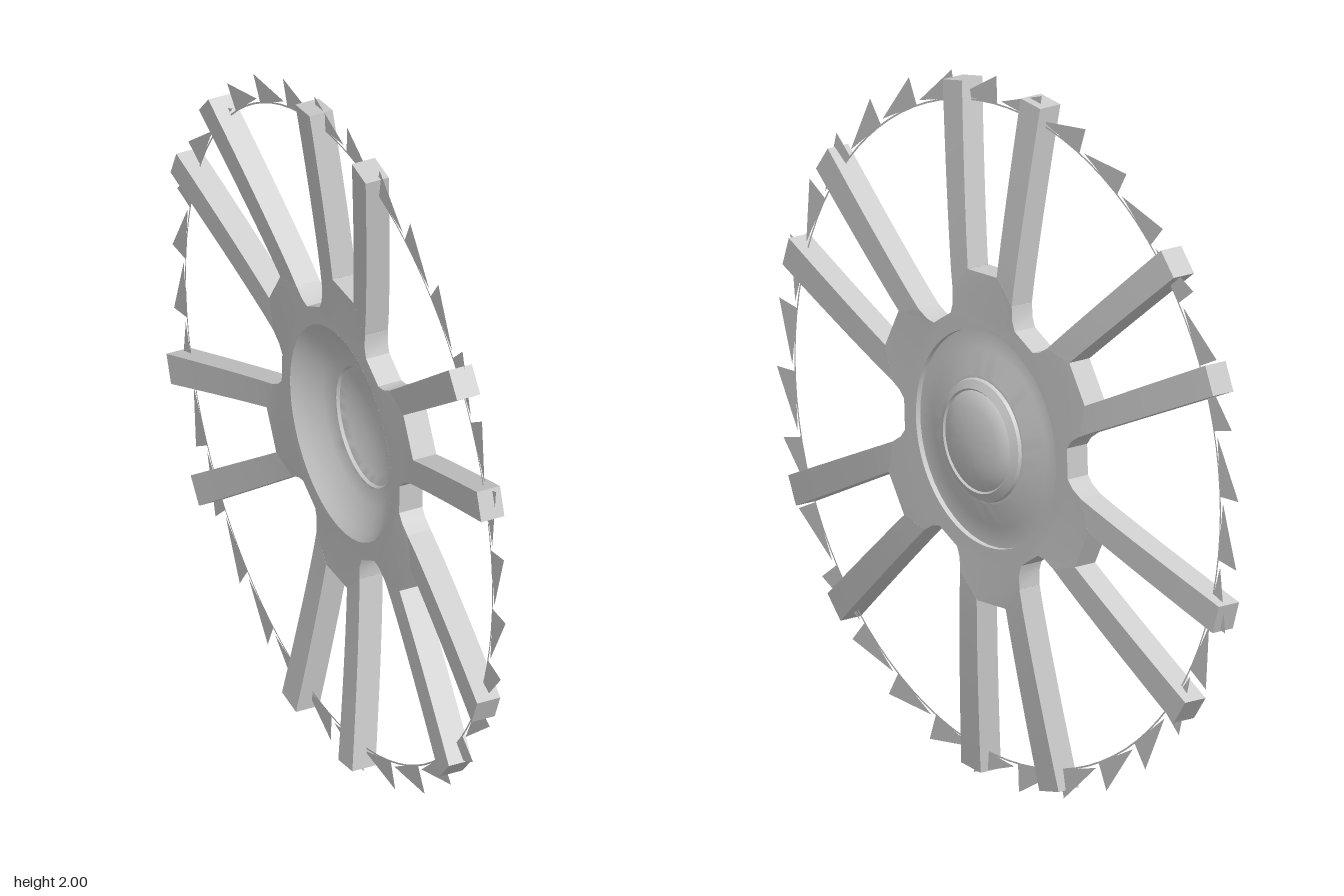
import * as THREE from 'three';
import { toCreasedNormals } from 'three/addons/utils/BufferGeometryUtils.js';

const rad = THREE.MathUtils.degToRad;
const PAIRS = 6, TEETH = 32;
const BACK = -0.04, THICK = 0.07;

const steel = new THREE.MeshStandardMaterial({ color: 0xcccccc });
const thinSteel = new THREE.MeshStandardMaterial({ color: 0xcccccc, side: THREE.DoubleSide });
steel.name = 'steel';
thinSteel.name = 'thin steel';

const polar = (deg, r) => new THREE.Vector2(Math.cos(rad(deg)) * r, Math.sin(rad(deg)) * r);
const pairAngle = (i) => 92.4 + i * 360 / PAIRS;

// Sweeps the outer part of the wheel backwards, then turns its face to +x
function dish(geometry) {
  const p = geometry.attributes.position;
  for (let i = 0; i < p.count; i++) {
    const t = Math.max(0, (Math.hypot(p.getX(i), p.getY(i)) - 0.42) / 0.55);
    p.setZ(i, p.getZ(i) - 0.05 * Math.pow(t, 1.2));
  }
  geometry.rotateY(Math.PI / 2);
  geometry.computeVertexNormals();
  return geometry;
}

// Central plate: a lobe under each spoke pair, a shallow valley between pairs
function hubPlate() {
  const half = [[7.7, 0.467], [18, 0.415], [20, 0.377], [23, 0.355]];
  const outline = [];
  for (let i = 0; i < PAIRS; i++) {
    const a = pairAngle(i);
    [...half].reverse().forEach(([d, r]) => outline.push(polar(a - d, r)));
    half.forEach(([d, r]) => outline.push(polar(a + d, r)));
  }
  const shape = new THREE.Shape(outline);
  shape.holes.push(new THREE.Path().absarc(0, 0, 0.303, 0, Math.PI * 2, true));
  const g = new THREE.ExtrudeGeometry(shape, { depth: THICK, bevelEnabled: false, curveSegments: 48 });
  return toCreasedNormals(dish(g.translate(0, 0, BACK)), 0.5);
}

// Tapered, bent spoke; side is +1 or -1 within its pair
function spoke(pair, side) {
  const inner = [[0.0625, 0.463], [0.127, 0.968]];
  const outer = [[0.128, 0.395], [0.211, 0.955]];
  const g = new THREE.BoxGeometry(1, 1, 1, 1, 10, 1);
  const p = g.attributes.position;
  const mix = THREE.MathUtils.lerp;
  for (let i = 0; i < p.count; i++) {
    const s = 0.5 + side * p.getX(i), t = p.getY(i) + 0.5;
    const at = (k) => mix(mix(inner[0][k], inner[1][k], t), mix(outer[0][k], outer[1][k], t), s);
    p.setXYZ(i, side * at(0), at(1), BACK + THICK * (p.getZ(i) + 0.5));
  }
  g.rotateZ(rad(pairAngle(pair) - 90));
  return dish(g);
}

// Revolved part around the x axis, from [radius, x] points
function turned(profile) {
  const g = new THREE.LatheGeometry(profile.map(([r, x]) => new THREE.Vector2(r, x)), 48);
  g.rotateZ(-Math.PI / 2);
  return toCreasedNormals(g, 0.5);
}

export function createModel() {
  const wheel = new THREE.Group();
  wheel.name = 'wheel';
  wheel.position.y = 1;
  const add = (name, geometry, material = steel) => {
    const mesh = new THREE.Mesh(geometry, material);
    mesh.name = name;
    wheel.add(mesh);
  };

  add('hubPlate', hubPlate());
  for (let i = 0; i < PAIRS; i++) {
    for (const side of [1, -1]) add('spoke', spoke(i, side));
  }

  // Stepped cap on the outside, hollow bowl on the inside
  add('hubCap', turned([
    [0.303, 0.015], [0.245, 0.015], [0.18, 0.043], [0.172, 0.043], [0.168, 0.052],
    [0.145, 0.063], [0.14, 0.058], [0.13, 0.066], [0.1, 0.076], [0.06, 0.083], [0, 0.086],
  ]), thinSteel);
  add('hubBowl', turned([
    [0.303, -0.04], [0.28, -0.021], [0.25, -0.001], [0.215, 0.017], [0.18, 0.032],
    [0.17, 0.032], [0.165, 0.04], [0.14, 0.05], [0.08, 0.064], [0, 0.07],
  ]), thinSteel);

  // Thin saw teeth and the fine band that carries them
  const teeth = [];
  for (let i = 0; i < TEETH; i++) {
    const a = 92.8 + i * 360 / TEETH;
    teeth.push(new THREE.Shape([polar(a, 0.921), polar(a, 1), polar(a + 10.2, 0.932)]));
  }
  const place = (g) => g.rotateY(Math.PI / 2).translate(-0.045, 0, 0);
  add('sawTeeth', place(new THREE.ShapeGeometry(teeth)), thinSteel);
  add('toothBand', place(new THREE.RingGeometry(0.918, 0.923, 96)), thinSteel);

  const model = new THREE.Group();
  model.name = 'spokedSawWheel';
  model.add(wheel);
  return model;
}
